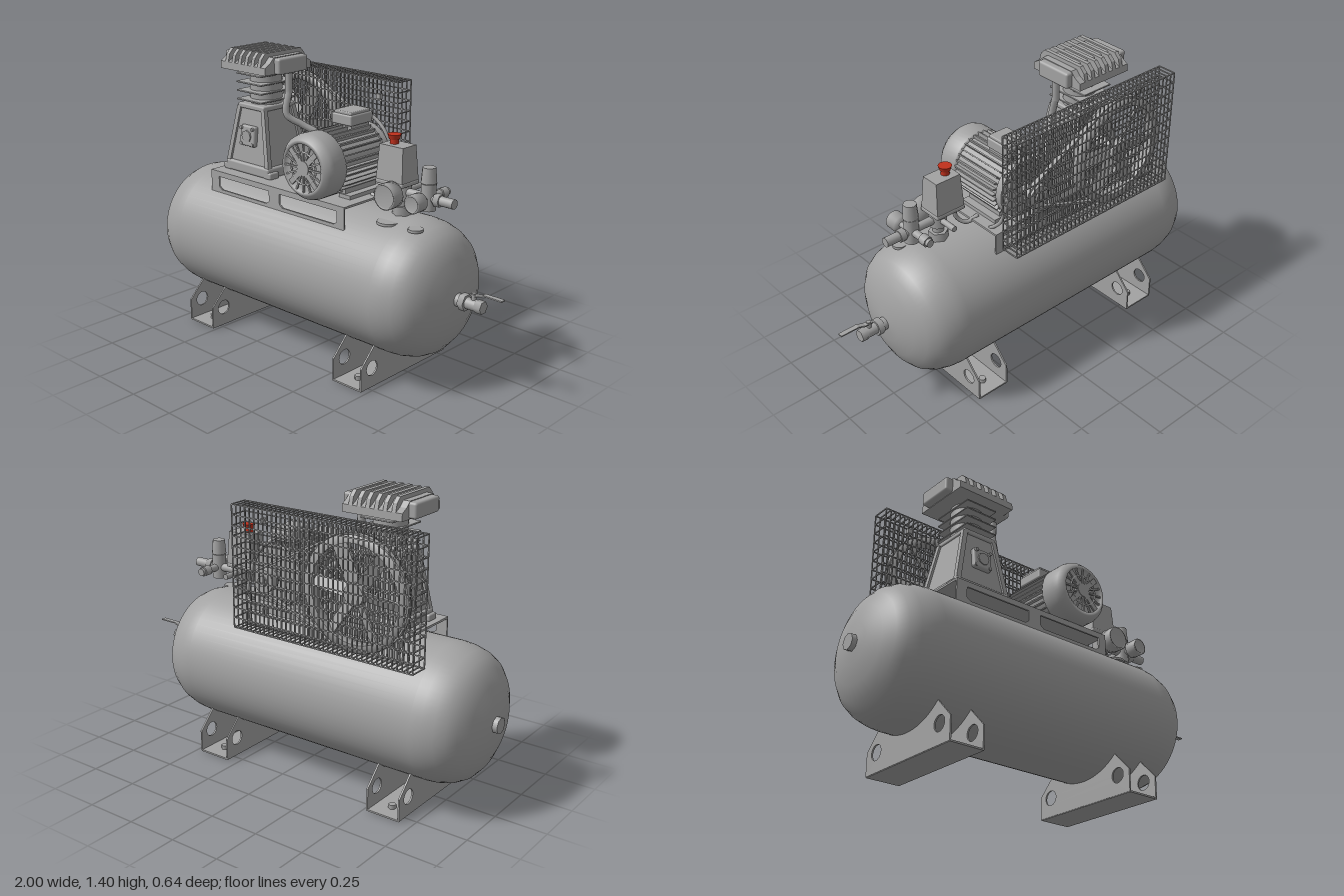
import * as THREE from 'three';
import { mergeGeometries } from 'three/addons/utils/BufferGeometryUtils.js';
import { RoundedBoxGeometry } from 'three/addons/geometries/RoundedBoxGeometry.js';

const V2 = (x, y) => new THREE.Vector2(x, y);
const V3 = (p) => new THREE.Vector3(...p);

export function createModel() {
  const root = new THREE.Group();
  root.name = 'airCompressor';
  const grey = new THREE.MeshStandardMaterial({ name: 'grey metal', color: 0xa2a2a2, side: THREE.DoubleSide });
  const red = new THREE.MeshStandardMaterial({ name: 'red plastic', color: 0xc0301c });

  const group = (name) => { const g = new THREE.Group(); g.name = name; root.add(g); return g; };
  const add = (parent, name, geo, x = 0, y = 0, z = 0, mat = grey) => {
    const m = new THREE.Mesh(geo, mat);
    m.name = name;
    m.position.set(x, y, z);
    parent.add(m);
    return m;
  };
  const boxGeo = (w, h, d, x = 0, y = 0, z = 0) => new THREE.BoxGeometry(w, h, d).translate(x, y, z);
  // box given by its two corners
  const span = (parent, name, a, b, r = 0) => {
    const s = a.map((v, i) => b[i] - v), c = a.map((v, i) => (v + b[i]) / 2);
    return add(parent, name, r ? new RoundedBoxGeometry(...s, 3, r) : new THREE.BoxGeometry(...s), ...c);
  };
  const turn = (geo, axis) => axis === 'x' ? geo.rotateZ(-Math.PI / 2) : axis === 'z' ? geo.rotateX(Math.PI / 2) : geo;
  // cylinder centred at a point; r2 is the radius at the + end
  const cyl = (parent, name, axis, r, len, x, y, z, seg = 24, r2 = r, mat = grey) =>
    add(parent, name, turn(new THREE.CylinderGeometry(r2, r, len, seg), axis), x, y, z, mat);
  const lathe = (parent, name, axis, pts, x, y, z, seg = 48) =>
    add(parent, name, turn(new THREE.LatheGeometry(pts.map((p) => V2(...p)), seg), axis), x, y, z);
  const extrude = (shape, depth) => new THREE.ExtrudeGeometry(shape, { depth, bevelEnabled: false, curveSegments: 24 });
  const tube = (parent, name, pts, r) =>
    add(parent, name, new THREE.TubeGeometry(new THREE.CatmullRomCurve3(pts.map(V3)), 40, r, 8));
  const taper = (w, h, d, sx, sz) => {
    const g = new THREE.BoxGeometry(w, h, d), p = g.attributes.position;
    for (let i = 0; i < p.count; i++) if (p.getY(i) > 0) { p.setX(i, p.getX(i) * sx); p.setZ(i, p.getZ(i) * sz); }
    g.computeVertexNormals();
    return g;
  };

  // Tank with dished ends
  const tank = group('tank'), cx = -0.105;
  const dome = [[0.68, 0.315], [0.735, 0.3], [0.78, 0.275], [0.815, 0.235], [0.845, 0.175], [0.868, 0.09], [0.875, 0]];
  lathe(tank, 'tankShell', 'x', [
    ...dome.map(([x, r]) => [r, -x]).reverse(), [0.32, -0.63], [0.32, 0.63], ...dome.map(([x, r]) => [r, x])], cx, 0.44, 0, 64);
  cyl(tank, 'endPlug', 'x', 0.038, 0.035, -0.983, 0.44, 0, 8);

  // Drain valve with bent lever
  const valve = group('drainValve');
  cyl(valve, 'valveFlange', 'x', 0.03, 0.03, 0.775, 0.44, 0);
  cyl(valve, 'valveNut', 'x', 0.04, 0.03, 0.803, 0.44, 0, 6);
  cyl(valve, 'valveBody', 'x', 0.026, 0.06, 0.845, 0.44, 0);
  cyl(valve, 'valveOutlet', 'x', 0.03, 0.035, 0.885, 0.44, 0, 6);
  cyl(valve, 'valveStem', 'y', 0.011, 0.04, 0.85, 0.475, 0, 12);
  const lever = new THREE.Shape([[0.835, 0.484], [0.875, 0.484], [0.91, 0.497], [1, 0.497], [1, 0.503], [0.908, 0.503], [0.873, 0.49], [0.835, 0.49]].map((p) => V2(...p)));
  add(valve, 'valveLever', extrude(lever, 0.024), 0, 0, -0.012);

  // Channel feet: two drilled saddle plates joined by a floor
  const saddle = new THREE.Shape();
  saddle.moveTo(-0.3, 0.003).lineTo(0.3, 0.003).lineTo(0.3, 0.11).lineTo(0.212, 0.2);
  const sa = Math.atan2(-0.24, 0.212);
  saddle.absarc(0, 0.44, 0.32, sa, -Math.PI - sa, true);
  saddle.lineTo(-0.3, 0.11);
  for (const s of [-1, 1]) saddle.holes.push(new THREE.Path().absarc(s * 0.227, 0.095, 0.036, 0, Math.PI * 2, true));
  for (const x of [-0.602, 0.39]) {
    const foot = group('foot');
    for (const s of [-1, 1]) {
      add(foot, 'saddlePlate', extrude(saddle, 0.008).rotateY(Math.PI / 2), x + s * 0.083 - 0.004);
      cyl(foot, 'footBolt', 'y', 0.018, 0.022, x, 0.017, s * 0.22, 6);
    }
    span(foot, 'footFloor', [x - 0.085, 0, -0.3], [x + 0.085, 0.008, 0.3]);
  }

  // Mounting platform with slotted skirts
  const platform = group('platform');
  span(platform, 'platformTop', [-0.606, 0.787, -0.2], [0.278, 0.797, 0.2]);
  const skirt = new THREE.Shape([V2(-0.606, 0.685), V2(0.278, 0.685), V2(0.278, 0.795), V2(-0.606, 0.795)]);
  for (const [a, b] of [[-0.55, -0.2], [-0.13, 0.235]]) {
    skirt.holes.push(new THREE.Path([V2(a, 0.77), V2(b, 0.77), V2(b, 0.72), V2(b - 0.02, 0.706), V2(a + 0.02, 0.706), V2(a, 0.72)]));
  }
  for (const z of [-0.2, 0.192]) add(platform, 'platformSkirt', extrude(skirt, 0.008), 0, 0, z);

  // Pump: crankcase, finned barrel, ribbed head
  const pump = group('pump'), px = -0.415;
  span(pump, 'pumpBase', [px - 0.15, 0.797, -0.14], [px + 0.15, 0.85, 0.14], 0.012);
  for (const s of [-1, 1]) for (const t of [-1, 1]) {
    span(pump, 'pumpLug', [px + s * 0.14 - 0.025, 0.797, t * 0.11 - 0.03], [px + s * 0.14 + 0.025, 0.83, t * 0.11 + 0.03], 0.008);
    const edge = add(pump, 'cornerRib', boxGeo(0.024, 0.28, 0.024), px + s * 0.108, 0.98, t * 0.108);
    edge.rotation.set(-t * 0.11, 0, s * 0.19);
  }
  add(pump, 'crankcase', taper(0.27, 0.28, 0.25, 0.61, 0.76), px, 0.98, 0);
  span(pump, 'crankcaseTop', [px - 0.09, 1.11, -0.105], [px + 0.09, 1.135, 0.105], 0.008);
  const cover = add(pump, 'frontCover', new RoundedBoxGeometry(0.1, 0.1, 0.03, 2, 0.01), px, 0.985, 0.118);
  cover.rotation.x = -0.1;
  cyl(pump, 'coverBoss', 'z', 0.03, 0.04, px, 0.985, 0.12, 8);
  for (const s of [-1, 1]) for (const t of [-1, 1]) cyl(pump, 'coverBolt', 'z', 0.009, 0.04, px + s * 0.038, 0.985 + t * 0.038, 0.12, 6);
  cyl(pump, 'barrel', 'y', 0.078, 0.18, px, 1.215, 0, 32);
  for (let i = 0; i < 4; i++) span(pump, 'barrelFin', [px - 0.085, 1.15 + i * 0.042, -0.115], [px + 0.085, 1.158 + i * 0.042, 0.115], 0.003);
  const headShape = (k, top) => new THREE.Shape([[-0.152, 1.3], [0.152, 1.3], [0.15, 1.335], [0.14 - k, top - 0.025], [0.115 - k, top], [k - 0.115, top], [k - 0.14, top - 0.025], [-0.15, 1.335]].map((p) => V2(...p)));
  add(pump, 'headBody', extrude(headShape(0.022, 1.378), 0.305).rotateY(Math.PI / 2), -0.568);
  for (let i = 0; i < 6; i++) add(pump, 'headRib', extrude(headShape(0, 1.397), 0.02).rotateY(Math.PI / 2), -0.535 + i * 0.044);
  span(pump, 'headMiddle', [-0.53, 1.35, -0.075], [-0.3, 1.39, 0.075], 0.008);
  span(pump, 'intakeFilter', [-0.605, 1.303, -0.1], [-0.53, 1.375, 0.09], 0.012);
  span(pump, 'dischargePort', [-0.3, 1.298, -0.1], [-0.23, 1.375, 0.09], 0.012);
  cyl(pump, 'dischargeElbow', 'y', 0.018, 0.1, -0.26, 1.25, 0, 12);
  tube(pump, 'dischargeHose', [[-0.26, 1.21, 0], [-0.255, 1.1, 0.02], [-0.2, 1.05, -0.03], [-0.135, 1.0, -0.08], [-0.115, 0.92, -0.11], [-0.115, 0.79, -0.11]], 0.017);
  cyl(pump, 'crankshaft', 'z', 0.03, 0.18, px, 0.985, -0.19);

  // Electric motor with fan cowl, cooling fins and terminal box
  const motor = group('motor'), mx = 0.085, my = 0.95;
  cyl(motor, 'motorBody', 'z', 0.132, 0.3, mx, my, -0.005, 40);
  cyl(motor, 'rearBell', 'z', 0.14, 0.035, mx, my, -0.155, 40);
  cyl(motor, 'motorShaft', 'z', 0.025, 0.12, mx, my, -0.22);
  const fins = [];
  for (let i = 0; i < 32; i++) fins.push(boxGeo(0.025, 0.006, 0.27, 0.14).rotateZ(i * Math.PI / 16).translate(0, 0, 0.005));
  add(motor, 'motorFins', mergeGeometries(fins), mx, my, 0);
  lathe(motor, 'fanCowl', 'z', [[0.13, 0.14], [0.153, 0.14], [0.153, 0.215], [0.147, 0.238], [0.128, 0.26], [0.112, 0.262], [0.11, 0.235], [0, 0.235]], mx, my, 0);
  const grille = [];
  for (let i = 0; i < 16; i++) grille.push(boxGeo(0.085, i % 4 === 2 ? 0.026 : 0.008, 0.008, 0.072).rotateZ(i * Math.PI / 8));
  add(motor, 'cowlGrille', mergeGeometries(grille), mx, my, 0.256);
  add(motor, 'grilleRing', new THREE.TorusGeometry(0.075, 0.005, 6, 32), mx, my, 0.256);
  cyl(motor, 'grilleHub', 'z', 0.035, 0.03, mx, my, 0.247);
  span(motor, 'terminalNeck', [0.04, 1.06, -0.12], [0.14, 1.12, 0]);
  span(motor, 'terminalBox', [0.026, 1.105, -0.138], [0.148, 1.155, 0.012], 0.008);
  span(motor, 'terminalLid', [0.034, 1.15, -0.13], [0.14, 1.168, 0.004], 0.005);
  for (const s of [-1, 1]) {
    span(motor, 'motorFoot', [mx + s * 0.105 - 0.035, 0.797, -0.13], [mx + s * 0.105 + 0.035, 0.815, 0.1]);
    span(motor, 'footWeb', [mx + s * 0.085 - 0.018, 0.81, -0.12], [mx + s * 0.085 + 0.018, 0.88, 0.09]);
  }
  tube(motor, 'motorConduit', [[0.09, 1.13, -0.13], [0.11, 1.12, -0.17], [0.18, 1.05, -0.19], [0.24, 0.85, -0.19], [0.26, 0.78, -0.12]], 0.009);
  tube(motor, 'switchCable', [[0.24, 0.8, -0.03], [0.3, 0.785, -0.02], [0.34, 0.82, 0], [0.355, 0.92, 0]], 0.01);

  // Flywheel with fan blades, motor pulley and belt
  const drive = group('drive'), fy = 0.985, fz = -0.25;
  lathe(drive, 'flywheelRim', 'z', [[0.225, -0.025], [0.262, -0.025], [0.255, 0], [0.262, 0.025], [0.225, 0.025], [0.225, -0.025]], px, fy, fz, 56);
  cyl(drive, 'flywheelHub', 'z', 0.05, 0.06, px, fy, fz);
  for (let i = 0; i < 6; i++) {
    const blade = boxGeo(0.19, 0.06, 0.008, 0.135).rotateX(0.5).rotateZ(i * Math.PI / 3 + 0.1);
    add(drive, 'fanBlade', blade, px, fy, fz);
  }
  cyl(drive, 'motorPulley', 'z', 0.055, 0.045, mx, my, fz, 32);
  const th = Math.atan2(my - fy, mx - px), dist = Math.hypot(mx - px, my - fy), a = Math.acos(0.2 / dist);
  const loop = (path, e) => path
    .absarc(px, fy, 0.258 + e, th + a, th - a + Math.PI * 2, false)
    .absarc(mx, my, 0.058 + e, th - a, th + a, false);
  const belt = loop(new THREE.Shape(), 0.007);
  belt.holes.push(loop(new THREE.Path(), -0.003));
  add(drive, 'belt', extrude(belt, 0.022), 0, 0, fz - 0.011);

  // Wire belt guard: closed loops of wire in both directions
  const guard = group('beltGuard'), wires = [], w = 0.005;
  const [x0, x1, y0, y1, z0, z1] = [-0.732, 0.24, 0.705, 1.288, -0.296, -0.204];
  const xm = (x0 + x1) / 2, ym = (y0 + y1) / 2, zm = (z0 + z1) / 2;
  for (let i = 0; i <= 38; i++) {
    const x = x0 + (x1 - x0) * i / 38;
    for (const z of [z0, z1]) wires.push(boxGeo(w, y1 - y0, w, x, ym, z));
    for (const y of [y0, y1]) wires.push(boxGeo(w, w, z1 - z0, x, y, zm));
  }
  for (let i = 0; i <= 12; i++) {
    const y = y0 + (y1 - y0) * i / 12;
    for (const z of [z0, z1]) wires.push(boxGeo(x1 - x0, w, w, xm, y, z));
    for (const x of [x0, x1]) wires.push(boxGeo(w, w, z1 - z0, x, y, zm));
  }
  add(guard, 'guardWires', mergeGeometries(wires));
  for (const x of [-0.6, 0.13]) for (const y of [0.78, 1.21]) span(guard, 'guardClamp', [x - 0.012, y - 0.012, z1 - 0.008], [x + 0.012, y + 0.012, z1 + 0.012]);
  for (const x of [-0.2, 0.2]) span(guard, 'guardBracket', [x - 0.015, 0.787, z1], [x + 0.015, 0.797, -0.19]);

  // Pressure switch and red stop button
  const control = group('pressureSwitch'), sx = 0.413;
  add(control, 'switchHousing', taper(0.15, 0.165, 0.115, 0.88, 0.8), sx, 0.99, 0);
  span(control, 'switchBase', [sx - 0.078, 0.895, -0.06], [sx + 0.078, 0.915, 0.06], 0.006);
  cyl(control, 'buttonStem', 'y', 0.02, 0.025, 0.393, 1.082, 0, 20, 0.02, red);
  cyl(control, 'stopButton', 'y', 0.024, 0.022, 0.393, 1.104, 0, 24, 0.031, red);

  // Manifold, gauges and regulator
  const air = group('airManifold');
  cyl(air, 'tankRiser', 'y', 0.026, 0.18, 0.445, 0.82, 0, 16);
  cyl(air, 'riserNut', 'y', 0.045, 0.04, 0.445, 0.78, 0, 6);
  cyl(air, 'manifoldBlock', 'y', 0.042, 0.07, 0.445, 0.865, 0, 8);
  cyl(air, 'manifoldPipe', 'x', 0.02, 0.25, 0.56, 0.865, 0, 16);
  cyl(air, 'reliefValve', 'z', 0.014, 0.12, 0.445, 0.865, -0.06, 12);
  for (const [x, r] of [[0.443, 0.06], [0.595, 0.042]]) {
    cyl(air, 'gaugeStem', 'z', 0.013, 0.08, x, 0.863, 0.04, 12);
    lathe(air, 'gauge', 'z', [[0, 0.065], [r, 0.065], [r, 0.122], [r - 0.008, 0.125], [r - 0.01, 0.118], [0, 0.118]], x, 0.863, 0, 32);
    cyl(air, 'tankBoss', 'y', r - 0.008, 0.012, x, 0.742, 0.09);
  }
  cyl(air, 'regulatorBody', 'y', 0.034, 0.12, 0.59, 0.87, 0, 16);
  cyl(air, 'regulatorNeck', 'y', 0.022, 0.03, 0.59, 0.925, 0, 16);
  cyl(air, 'regulatorKnob', 'y', 0.036, 0.07, 0.59, 0.968, 0, 12, 0.03);
  cyl(air, 'rearOutlet', 'z', 0.018, 0.13, 0.59, 0.865, -0.07, 16);
  cyl(air, 'rearCoupler', 'z', 0.025, 0.04, 0.59, 0.865, -0.1, 8);
  cyl(air, 'outletNut', 'x', 0.03, 0.03, 0.645, 0.865, 0, 6);
  cyl(air, 'outletCoupler', 'x', 0.022, 0.07, 0.695, 0.865, 0, 16);
  return root;
}
